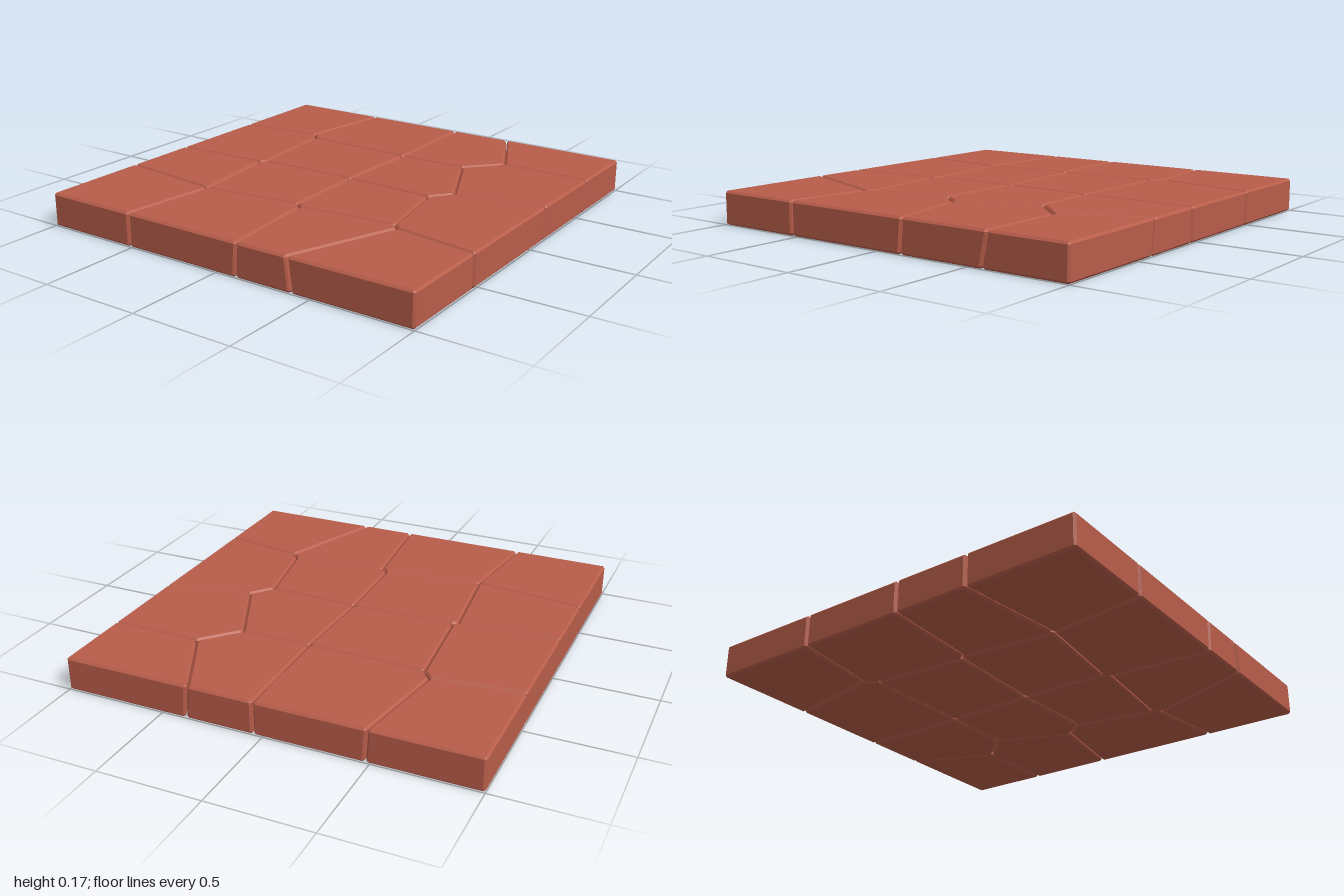
import * as THREE from 'three';

const HEIGHT = 0.165, BEVEL = 0.01, GAP = 0.003, E = 1 + GAP;

// Seam junctions: x, z at the top, then the small drift in x, z at the bottom
const P = {
  b0: [-E, -E], b1: [-0.485, -E, 0.01, 0], b2: [0.045, -E], b3: [0.36, -E, 0.015, 0], b4: [E, -E],
  l1: [-E, -0.45], l2: [-E, 0.085], l3: [-E, 0.46],
  r1: [E, -0.603, 0, 0.03], r2: [E, -0.15, 0, 0.015], r3: [E, 0.535],
  f0: [-E, E], f1: [-0.515, E], f2: [0.117, E, -0.01, 0], f3: [0.377, E, 0.018, 0], f4: [E, E],
  a: [-0.57, -0.5], a2: [-0.525, -0.45],
  b: [0.05, -0.437], c: [0.395, -0.443, 0.01, 0.01], d: [0.55, -0.61, 0.012, 0.025],
  f: [0.565, -0.065], g: [0.483, 0.037], h: [0.03, 0.022],
  i: [-0.485, 0.035], i2: [-0.505, 0.06], j: [-0.455, 0.525],
  k: [0.037, 0.465], k2: [0.072, 0.492], m: [0.553, 0.437], m2: [0.585, 0.472],
};

// Outline of each stone, listed clockwise as seen from above
const STONES = [
  'b0 b1 a l1', 'b1 b2 b a2 a', 'b2 b3 d c b', 'b3 b4 r1 d',
  'l1 a a2 i i2 l2', 'a2 b h i', 'b c f g h', 'd r1 r2 f c',
  'l2 i2 j l3', 'i h k j i2', 'h g m k2 k', 'f r2 r3 m2 m g',
  'l3 j f1 f0', 'j k k2 f2 f1', 'k2 m m2 f3 f2', 'm2 r3 f4 f3',
];

// Inset an outline; returns cap corners and the chamfered ring (two points per corner)
function outlineRings(pts) {
  const n = pts.length, inset = GAP + BEVEL;
  const normals = pts.map((p, k) => {
    const q = pts[(k + 1) % n];
    return new THREE.Vector2(q.y - p.y, p.x - q.x).normalize();
  });
  const cap = [], body = [];
  pts.forEach((p, k) => {
    const n0 = normals[(k + n - 1) % n], n1 = normals[k];
    const corner = p.clone().addScaledVector(n0.clone().add(n1), -inset / (1 + n0.dot(n1)));
    cap.push(corner, corner);
    body.push(corner.clone().addScaledVector(n0, BEVEL), corner.clone().addScaledVector(n1, BEVEL));
  });
  return { cap, body };
}

function stoneGeometry(names) {
  const corners = names.split(' ').map(s => P[s]);
  const top = outlineRings(corners.map(([x, z]) => new THREE.Vector2(x, z)));
  const low = outlineRings(corners.map(([x, z, dx = 0, dz = 0]) => new THREE.Vector2(x + dx, z + dz)));
  const rings = [[low.cap, 0], [low.body, BEVEL], [top.body, HEIGHT - BEVEL], [top.cap, HEIGHT]];
  const m = corners.length * 2, pos = [], idx = [];
  for (const [ring, y] of rings) for (const p of ring) pos.push(p.x, y, p.y);
  // Bevels and sides between neighbouring rings
  for (let r = 0; r < 3; r++) {
    for (let k = 0; k < m; k++) {
      const k1 = (k + 1) % m, l = r * m, u = l + m;
      const chamfer = k % 2 === 0; // cap points coincide here
      if (!(chamfer && r === 2)) idx.push(l + k, u + k, u + k1);
      else idx.push(l + k, u + k, l + k1);
      if (!(chamfer && r !== 1)) idx.push(l + k, u + k1, l + k1);
    }
  }
  // Top and bottom faces
  for (let k = 2; k < m - 2; k += 2) {
    idx.push(3 * m, 3 * m + k + 2, 3 * m + k);
    idx.push(0, k, k + 2);
  }
  const geo = new THREE.BufferGeometry();
  geo.setAttribute('position', new THREE.Float32BufferAttribute(pos, 3));
  geo.setIndex(idx);
  const flat = geo.toNonIndexed();
  flat.computeVertexNormals();
  return flat;
}

export function createModel() {
  const terracotta = new THREE.MeshStandardMaterial({ color: 0xb85d4a });
  terracotta.name = 'terracotta';
  const floor = new THREE.Group();
  floor.name = 'pavedFloor';
  STONES.forEach((names, k) => {
    const stone = new THREE.Mesh(stoneGeometry(names), terracotta);
    stone.name = `pavingStone${k + 1}`;
    floor.add(stone);
  });
  return floor;
}
